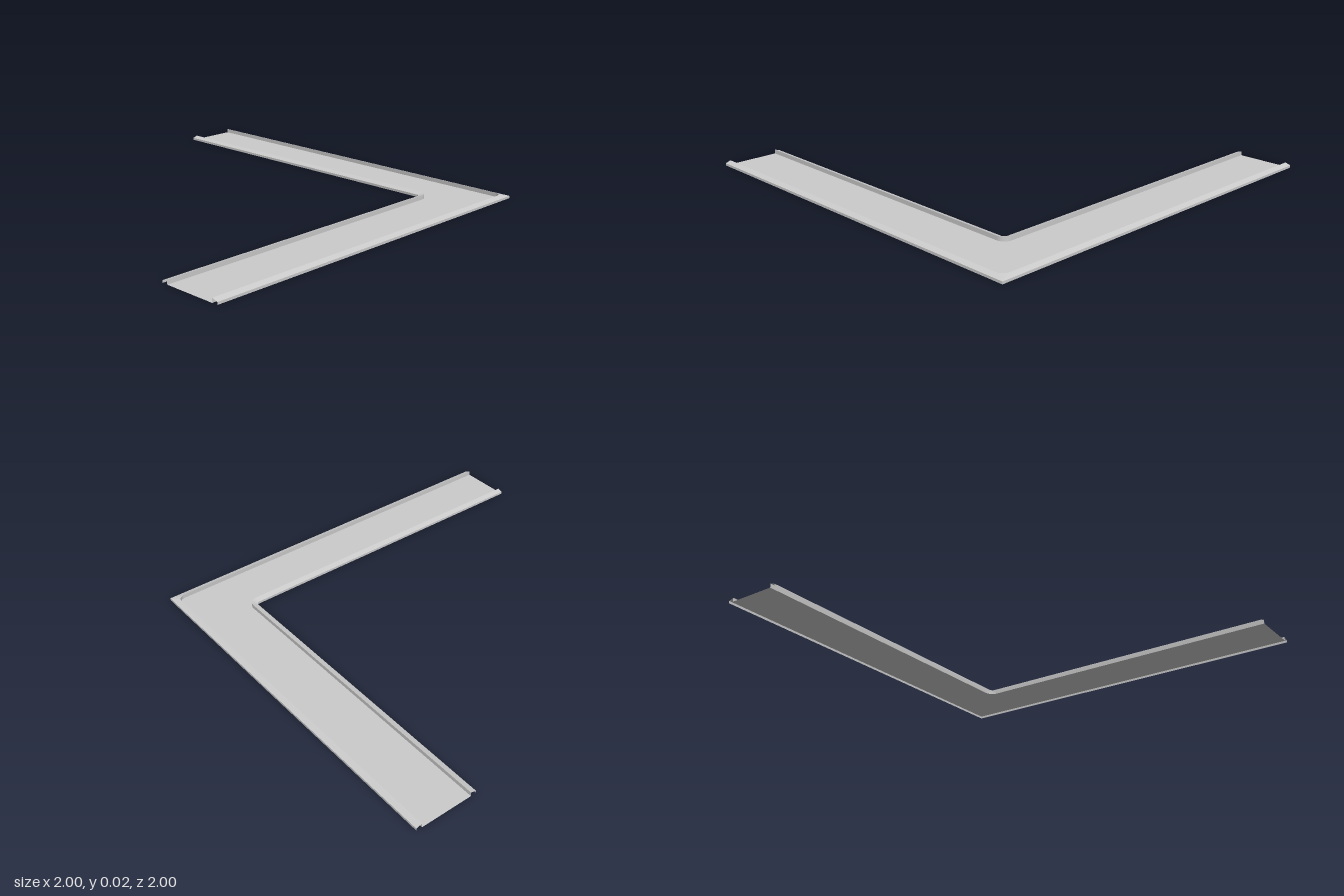
import * as THREE from 'three';
import { toCreasedNormals } from 'three/addons/utils/BufferGeometryUtils.js';

const INNER = 0.685, KERB = 0.028, TOP = 0.021, LIP = 0.012, ROAD = 0;

// One L-shaped rail: along x, round the corner with radius r, then back along -z
function rail([d, r, y], steps = 8) {
  const points = [new THREE.Vector3(-1, y, d)];
  for (let i = 0; i <= steps; i++) {
    const a = (1 - i / steps) * Math.PI / 2;
    points.push(new THREE.Vector3(d - r + r * Math.cos(a), y, d - r + r * Math.sin(a)));
  }
  points.push(new THREE.Vector3(d, y, -1));
  return points;
}

// Skin a sheet between successive rails, ordered from the inside of the bend outward
function sheet(profile) {
  const rails = profile.map((p) => rail(p));
  const n = rails[0].length;
  const index = [];
  for (let j = 0; j < rails.length - 1; j++) {
    for (let i = 0; i < n - 1; i++) {
      const a = j * n + i, b = a + n;
      index.push(a, b, a + 1, b, b + 1, a + 1);
    }
  }
  const geometry = new THREE.BufferGeometry().setFromPoints(rails.flat());
  geometry.setIndex(index);
  return toCreasedNormals(geometry, 0.3);
}

export function createModel() {
  const group = new THREE.Group();
  const grey = new THREE.MeshStandardMaterial({ color: 0xcccccc, side: THREE.DoubleSide });
  const paint = new THREE.MeshStandardMaterial({ color: 0xdddddd });
  const add = (name, geometry, material = grey) => {
    const mesh = new THREE.Mesh(geometry, material);
    mesh.name = name;
    group.add(mesh);
    return mesh;
  };

  // Road surface between the kerbs
  const roadIn = INNER + KERB, roadOut = 1 - KERB;
  add('roadSurface', sheet([[roadIn, 0.045, ROAD], [roadOut, 0.04, ROAD]]));

  // Hollow kerbs, sloping down away from the road
  add('innerKerb', sheet([
    [INNER, 0.02, 0], [INNER, 0.02, LIP], [roadIn, 0.045, TOP], [roadIn, 0.045, ROAD],
  ]));
  add('outerKerb', sheet([
    [roadOut, 0.04, ROAD], [roadOut, 0.04, TOP], [1, 0.001, LIP], [1, 0.001, 0],
  ]));

  // Dashed centre line on both arms
  const centre = (INNER + 1) / 2;
  const dash = new THREE.PlaneGeometry(0.08, 0.006).rotateX(-Math.PI / 2);
  for (let i = 0; i < 10; i++) {
    const t = -0.95 + i * 0.172;
    add('laneDash', dash, paint).position.set(t, ROAD + 0.001, centre);
    const other = add('laneDash', dash, paint);
    other.position.set(centre, ROAD + 0.001, t);
    other.rotation.y = Math.PI / 2;
  }
  return group;
}
